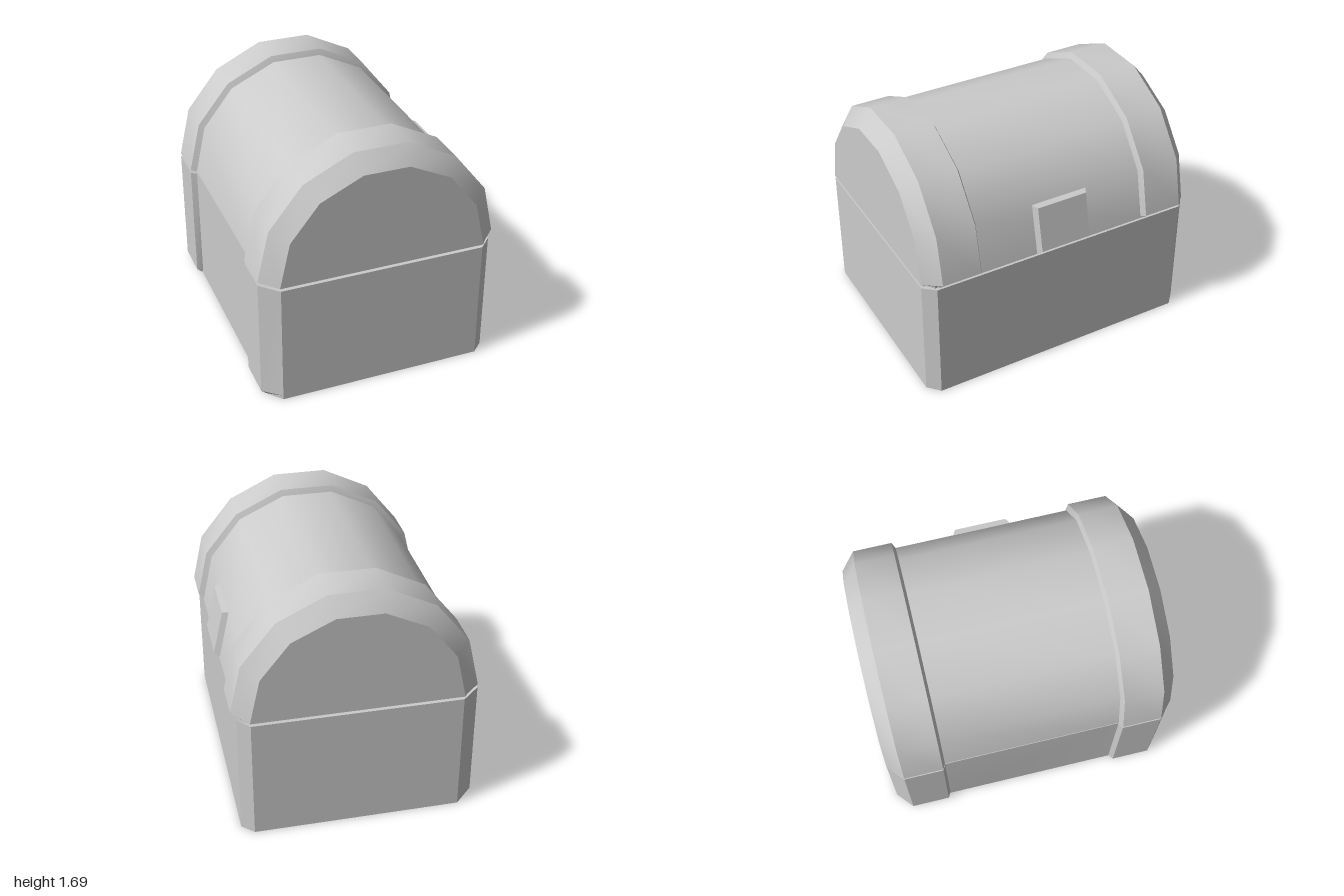
import * as THREE from 'three';
import { toCreasedNormals } from 'three/addons/utils/BufferGeometryUtils.js';

const material = new THREE.MeshStandardMaterial({ color: 0xcccccc, side: THREE.DoubleSide });

// Skin a sequence of equal-length rows of [x, y, z] points.
function loft(rows, closed, out = []) {
  for (let i = 0; i < rows.length - 1; i++) {
    const n = rows[i].length;
    for (let j = 0; j < (closed ? n : n - 1); j++) {
      const k = (j + 1) % n;
      const a = rows[i][j], b = rows[i][k], c = rows[i + 1][k], d = rows[i + 1][j];
      out.push(...a, ...b, ...c, ...a, ...c, ...d);
    }
  }
  return out;
}

// Fill a convex outline with a fan.
function fan(points, out = []) {
  for (let i = 1; i < points.length - 1; i++) out.push(...points[0], ...points[i], ...points[i + 1]);
  return out;
}

function part(name, positions) {
  const geometry = new THREE.BufferGeometry();
  geometry.setAttribute('position', new THREE.Float32BufferAttribute(positions, 3));
  const mesh = new THREE.Mesh(toCreasedNormals(geometry, 0.58), material);
  mesh.name = name;
  return mesh;
}

export function createModel() {
  const group = new THREE.Group();
  group.name = 'chest';

  // Plan of the body: flat on +x, raised bands near both ends on -x
  const halfPlan = [[0.7, 1, -0.7, 1], [0.78, 0.925, -0.82, 0.9], [0.78, 0.63, -0.82, 0.63], [0.78, 0.61, -0.78, 0.61]];
  const mirrored = [...halfPlan].reverse().map(([a, b, c, d]) => [a, -b, c, -d]);
  const sides = [...halfPlan, ...mirrored];
  const plan = [...sides.map((s) => [s[0], s[1]]), ...[...sides].reverse().map((s) => [s[2], s[3]])];
  const level = (y, limit = 1) => plan.map(([x, z]) => [Math.max(x, -limit), y, z]);
  const clamp = THREE.MathUtils.clamp;
  const lip = (y) => plan.map(([x, z]) => [clamp(x, -0.745, 0.745), y, clamp(z, -0.96, 0.96)]);

  // Open-bottomed body, its bands bevelled at the foot, and the inset lip under the lid
  const rim = plan.map(([x, z]) => [x, Math.abs(z) === 1 ? 0.86 : 0.87, z]);
  group.add(part('body', loft([level(0, 0.785), level(0.03), rim], true)));
  group.add(part('lip', loft([rim, lip(0.86), lip(0.88)], true)));

  // Lid cross-sections, each given from the bottom edge up to the crown
  const end = [[0.705, 0.88], [0.703, 0.89], [0.635, 1.195], [0.44, 1.44], [0.155, 1.575]];
  const band = [[0.78, 0.885], [0.813, 0.915], [0.74, 1.245], [0.513, 1.53], [0.185, 1.69]];
  const middle = [[0.78, 0.885], [0.778, 0.893], [0.705, 1.225], [0.49, 1.5], [0.175, 1.65]];
  const section = (profile, z) => [
    ...profile.map(([x, y]) => [x, y, z]),
    ...[...profile].reverse().map(([x, y]) => (x === 0.813 ? [-0.82, 0.895, z] : [-x, y, z])),
  ];
  const stations = [
    [end, -1], [band, -0.9], [band, -0.63], [middle, -0.61],
    [middle, 0.61], [band, 0.63], [band, 0.9], [end, 1],
  ].map(([profile, z]) => section(profile, z));

  // Arched lid with end walls
  const lid = loft(stations, false);
  fan(stations[7], lid);
  fan([...stations[0]].reverse(), lid);
  group.add(part('lid', lid));

  // Underside ledge joining the lid to the lip
  const lidEdge = [...[...stations].reverse().map((s) => s[0]), ...stations.map((s) => s[9])];
  group.add(part('lidLedge', loft([lip(0.88), lidEdge], true)));

  // Bevelled latch plate on the +x side of the lid
  const plate = (lowX, lowY, highX, highY, z) => [
    [lowX, lowY, z], [lowX, lowY, -z], [highX, highY, -z], [highX, highY, z],
  ];
  const face = plate(0.813, 0.915, 0.745, 1.22, 0.18);
  const latch = loft([plate(0.775, 0.885, 0.702, 1.228, 0.203), face], true);
  fan(face, latch);
  group.add(part('latch', latch));

  return group;
}
